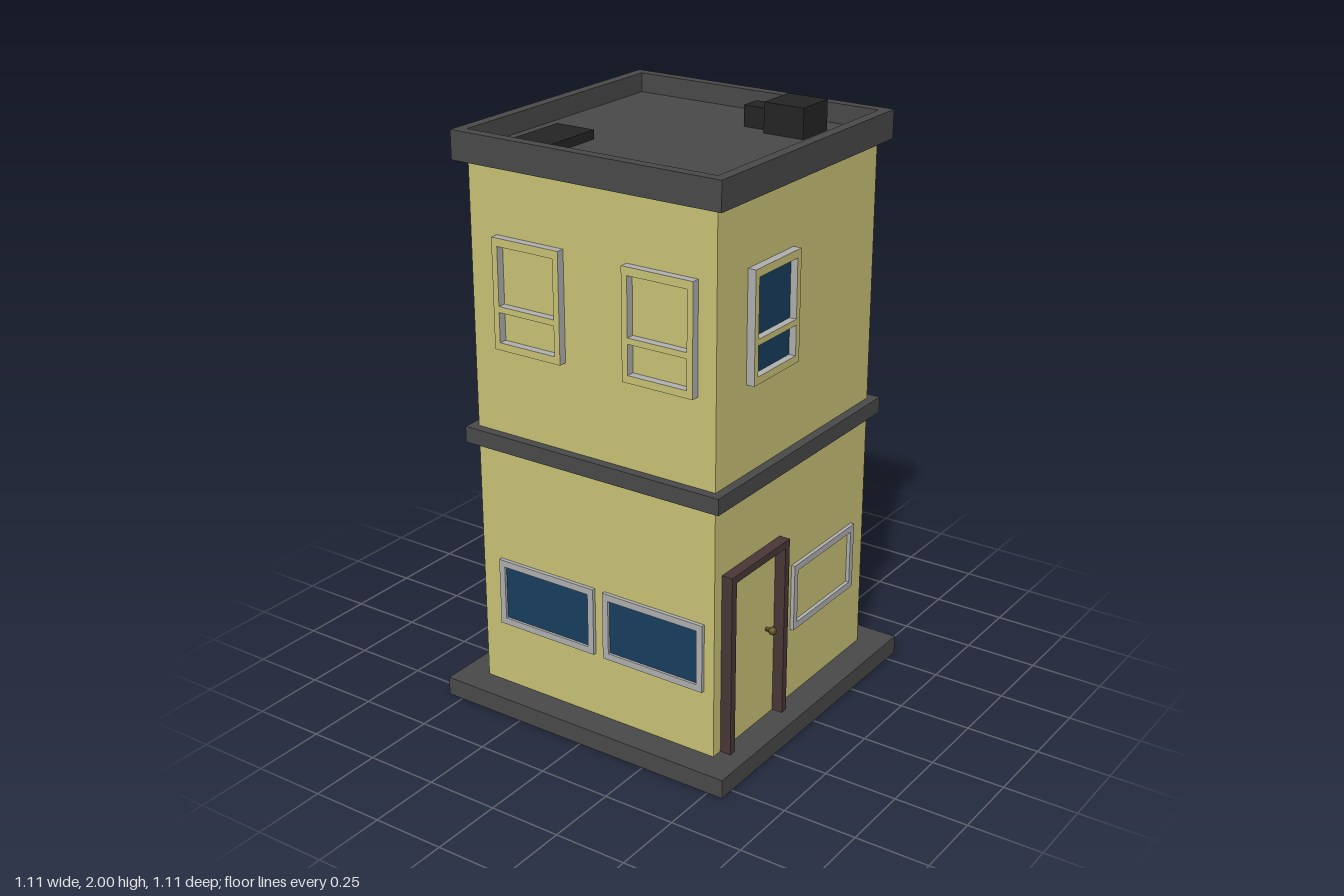
import * as THREE from 'three';

const paint = (color, side = THREE.FrontSide) =>
  new THREE.MeshStandardMaterial({ color, side, flatShading: true });

export function createModel() {
  const model = new THREE.Group();
  model.name = 'townhouse';

  const wallPaint = paint(0xcac376, THREE.DoubleSide);
  const stone = paint(0x494949);
  const black = paint(0x242424);
  const silver = paint(0xb0b0b0);
  const blue = paint(0x183e5e, THREE.DoubleSide);
  const wood = paint(0x4a3738);
  const brass = paint(0x5c4a20);
  const W = 0.458; // half width of the walls

  const add = (parent, name, geometry, material, x = 0, y = 0, z = 0) => {
    const mesh = new THREE.Mesh(geometry, material);
    mesh.name = name;
    mesh.position.set(x, y, z);
    parent.add(mesh);
    return mesh;
  };
  const box = (name, material, x0, x1, y0, y1, z0, z1) =>
    add(model, name, new THREE.BoxGeometry(x1 - x0, y1 - y0, z1 - z0), material,
      (x0 + x1) / 2, (y0 + y1) / 2, (z0 + z1) / 2);

  // Rectangle with rectangular holes, each given as [x0, y0, x1, y1], extruded along +z
  const corners = ([x0, y0, x1, y1]) =>
    [[x0, y0], [x1, y0], [x1, y1], [x0, y1]].map(([x, y]) => new THREE.Vector2(x, y));
  const panel = (outer, holes, depth) => {
    const shape = new THREE.Shape(corners(outer));
    for (const h of holes) shape.holes.push(new THREE.Path(corners(h).reverse()));
    return new THREE.ExtrudeGeometry(shape, { depth, bevelEnabled: false });
  };

  // Hollow square walls, open at the bottom
  const walls = add(model, 'walls',
    new THREE.CylinderGeometry(W * Math.SQRT2, W * Math.SQRT2, 1.805, 4, 1, true),
    wallPaint, 0, 0.065 + 1.805 / 2, 0);
  walls.rotation.y = Math.PI / 4;

  // Square rings around the walls: base, belt and parapet
  const ring = (name, half, y0, y1) => {
    const g = panel([-half, -half, half, half], [[-W, -W, W, W]], y1 - y0);
    add(model, name, g.rotateX(-Math.PI / 2), stone, 0, y0, 0);
  };
  ring('base', 0.555, 0, 0.065);
  ring('belt', 0.489, 0.93, 0.985);
  ring('parapet', 0.494, 1.87, 1.965);

  // Roof and the units on it
  box('roof', stone, -W, W, 1.87, 1.9, -W, W);
  box('largeRoofUnit', black, 0.181, 0.326, 1.9, 2.0, -0.366, -0.221);
  box('smallRoofUnit', black, 0.084, 0.159, 1.9, 1.97, -0.33, -0.257);
  box('roofHatch', black, -0.359, -0.214, 1.9, 1.93, 0.14, 0.382);

  // One group per wall face: local x runs along the wall, local z points outward
  const face = (name, angle) => {
    const g = new THREE.Group();
    g.name = name;
    g.rotation.y = angle;
    g.position.set(Math.sin(angle) * W, 0, Math.cos(angle) * W);
    model.add(g);
    return g;
  };
  const front = face('frontFace', 0);
  const left = face('leftFace', Math.PI / 2);
  const back = face('backFace', Math.PI);
  const right = face('rightFace', -Math.PI / 2);

  const glassPane = (wall, [x0, y0, x1, y1]) =>
    add(wall, 'glass', new THREE.PlaneGeometry(x1 - x0, y1 - y0), blue,
      (x0 + x1) / 2, (y0 + y1) / 2, 0.004);

  // Upper window: painted face, silver edges, two panes
  const sashWindow = (wall, x, glazed) => {
    const panes = [
      [x - 0.107, 1.305, x + 0.107, 1.405],
      [x - 0.107, 1.425, x + 0.107, 1.62]
    ];
    add(wall, 'sashWindowFrame', panel([x - 0.128, 1.28, x + 0.128, 1.647], panes, 0.028),
      [wallPaint, silver]);
    if (glazed) panes.forEach(p => glassPane(wall, p));
  };
  sashWindow(front, -0.226, false);
  sashWindow(front, 0.265, false);
  sashWindow(left, -0.167, true);
  sashWindow(back, -0.201, true);
  sashWindow(back, 0.22, true);
  sashWindow(right, -0.243, false);
  sashWindow(right, 0.226, true);

  // Lower window: wide silver frame with a single pane
  const wideWindow = (wall, x, y, glazed) => {
    const pane = [x - 0.17, y - 0.095, x + 0.17, y + 0.095];
    add(wall, 'wideWindowFrame',
      panel([x - 0.192, y - 0.118, x + 0.192, y + 0.118], [pane], 0.013), silver);
    if (glazed) glassPane(wall, pane);
  };
  wideWindow(front, -0.192, 0.41, true);
  wideWindow(front, 0.229, 0.41, true);
  wideWindow(right, -0.21, 0.41, true);
  wideWindow(right, 0.21, 0.41, true);
  wideWindow(left, 0.187, 0.435, false);

  // Door: wooden frame open at the floor, and a knob on a stem
  const jambs = new THREE.Shape([
    [-0.418, 0.065], [-0.392, 0.065], [-0.392, 0.667], [-0.108, 0.667],
    [-0.108, 0.065], [-0.083, 0.065], [-0.083, 0.692], [-0.418, 0.692]
  ].map(([x, y]) => new THREE.Vector2(x, y)));
  add(left, 'doorFrame',
    new THREE.ExtrudeGeometry(jambs, { depth: 0.038, bevelEnabled: false }), wood);
  add(left, 'doorKnobStem', new THREE.CylinderGeometry(0.007, 0.007, 0.026, 10).rotateX(Math.PI / 2),
    brass, -0.154, 0.387, 0.008);
  add(left, 'doorKnob', new THREE.SphereGeometry(0.014, 12, 8), brass, -0.154, 0.387, 0.024);

  return model;
}
